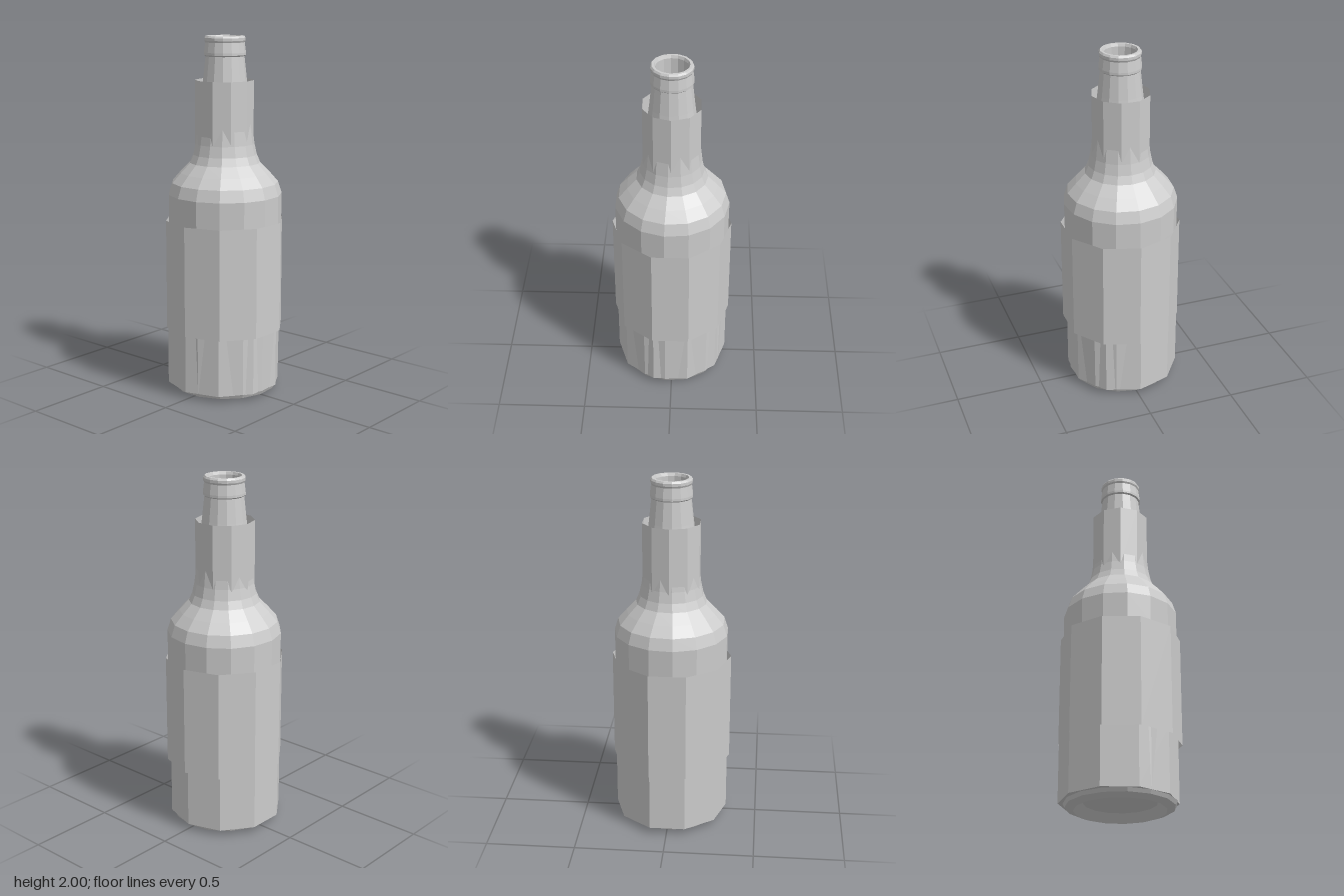
import * as THREE from 'three';

export function createModel() {
  const group = new THREE.Group();
  const grey = new THREE.MeshStandardMaterial({ color: 0xcccccc, flatShading: true, side: THREE.DoubleSide });
  grey.name = 'plain grey';

  const add = (name, geometry, x, y, z) => {
    const mesh = new THREE.Mesh(geometry, grey);
    mesh.name = name;
    mesh.position.set(x, y, z);
    group.add(mesh);
    return mesh;
  };

  // ten-sided open paper sleeve between two heights
  const sleeve = (name, radius, y0, y1, z, turn) => {
    const g = new THREE.CylinderGeometry(radius, radius, y1 - y0, 10, 1, true).rotateY(turn);
    add(name, g, -0.005, (y0 + y1) / 2, z);
  };

  // glass: recessed base, body, shoulder, neck, lip, then down into the mouth
  const profile = [
    [0, 0.05], [0.2, 0.045], [0.25, 0], [0.295, 0.018], [0.306, 0.04],
    [0.318, 0.98], [0.319, 1.13], [0.298, 1.195], [0.25, 1.25], [0.197, 1.305],
    [0.178, 1.35], [0.165, 1.41], [0.158, 1.47], [0.15, 1.54], [0.122, 1.76],
    [0.108, 1.89], [0.116, 1.897], [0.116, 1.91], [0.109, 1.965], [0.114, 1.975],
    [0.114, 1.99], [0.107, 2], [0.094, 2], [0.088, 1.985], [0.088, 1.7], [0, 1.7],
  ].map(([r, y]) => new THREE.Vector2(r, y));
  add('bottle', new THREE.LatheGeometry(profile, 15).rotateY(Math.PI / 2), -0.004, 0, 0);

  // paper wraps
  sleeve('mainLabel', 0.335, 0.365, 0.985, 0, Math.PI / 2);
  sleeve('lowerWrap', 0.322, 0.038, 0.4, -0.01, Math.PI / 2);
  sleeve('neckLabel', 0.163, 1.38, 1.76, -0.003, 0);

  // narrow rim closing the foot of the lower wrap
  const rim = new THREE.RingGeometry(0.28, 0.322, 10).rotateX(-Math.PI / 2);
  add('lowerWrapRim', rim, -0.005, 0.038, -0.01);

  return group;
}
